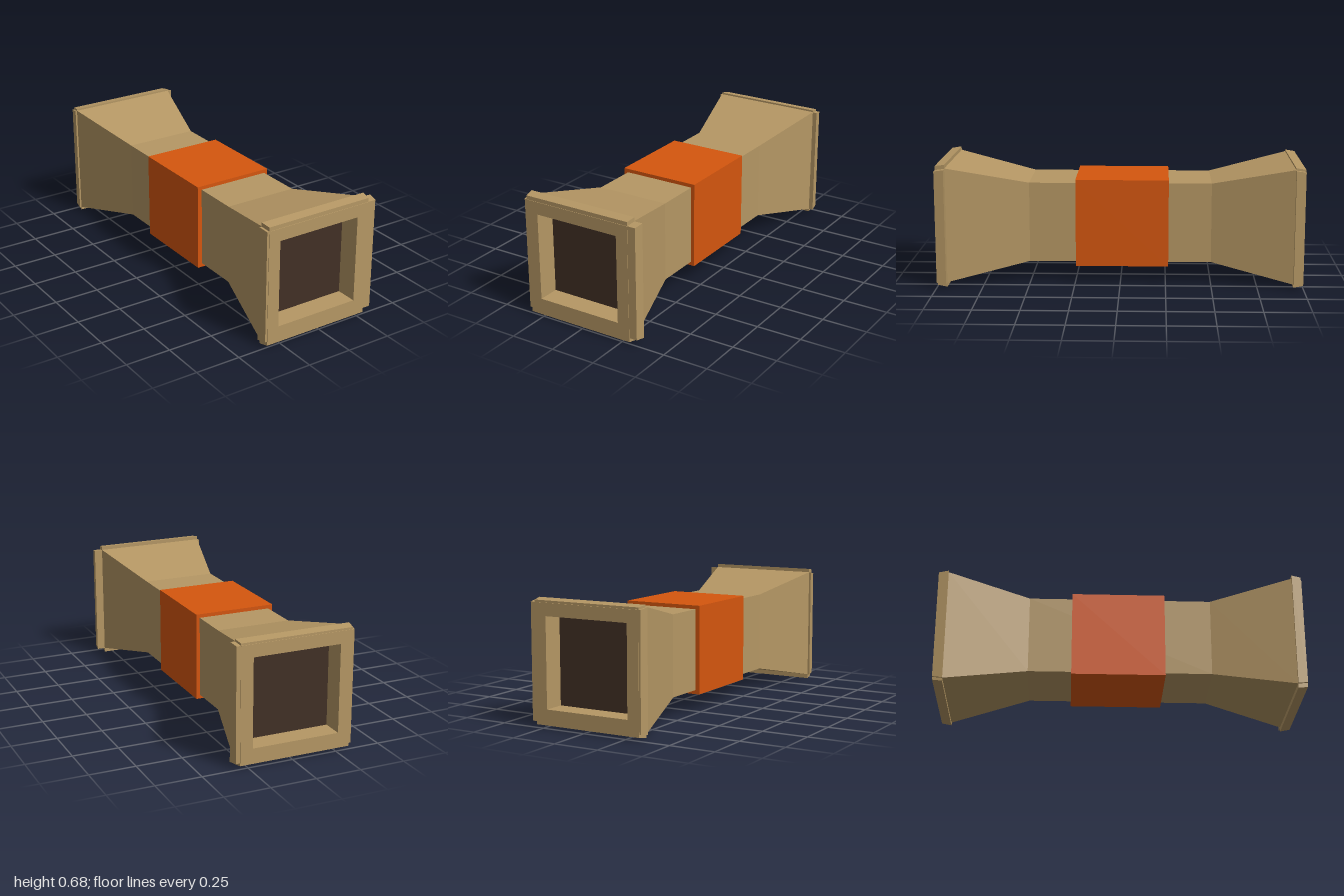
import * as THREE from 'three';

const TAN = new THREE.MeshStandardMaterial({ color: 0xb59764, flatShading: true });
const ORANGE = new THREE.MeshStandardMaterial({ color: 0xd5560e, flatShading: true });
const DARK = new THREE.MeshStandardMaterial({ color: 0x413025, flatShading: true });

// Joins rectangular sections [z, x0, x1, y0, y1] with flat quads.
function loft(name, sections, material, capped = false) {
  const rings = sections.map(([z, x0, x1, y0, y1]) =>
    [[x0, y0, z], [x1, y0, z], [x1, y1, z], [x0, y1, z]]);
  const pos = [];
  const quad = (a, b, c, d) => [a, b, c, a, c, d].forEach((p) => pos.push(...p));
  for (let k = 0; k + 1 < rings.length; k++) {
    for (let i = 0; i < 4; i++) {
      const j = (i + 1) % 4;
      quad(rings[k][i], rings[k][j], rings[k + 1][j], rings[k + 1][i]);
    }
  }
  if (capped) {
    const [a, b, c, d] = rings[0];
    quad(d, c, b, a);
    quad(...rings[rings.length - 1]);
  }
  const geo = new THREE.BufferGeometry();
  geo.setAttribute('position', new THREE.Float32BufferAttribute(pos, 3));
  geo.computeVertexNormals();
  const mesh = new THREE.Mesh(geo, material);
  mesh.name = name;
  return mesh;
}

export function createModel() {
  const model = new THREE.Group();
  model.name = 'flaredDuct';

  const opening = [-0.26, 0.225, 0.102, 0.582];
  const neck = [-0.225, 0.185, 0.122, 0.563];
  const flare = [-0.335, 0.3, 0.027, 0.66];
  const rim = [-0.327, 0.293, 0.034, 0.65];

  // Neck, flared ends and recessed mouths in one shell
  model.add(loft('body', [
    [-0.88, ...opening], [-1, ...opening], [-1, ...rim], [-0.945, ...flare], [-0.5, ...neck],
    [0.5, ...neck], [0.945, ...flare], [1, ...rim], [1, ...opening], [0.88, ...opening],
  ], TAN));

  // Central sleeve
  model.add(loft('sleeve', [
    [-0.265, -0.25, 0.205, 0.1, 0.583], [0.245, -0.25, 0.205, 0.1, 0.583],
  ], ORANGE, true));

  // Each end: dark panel inside the mouth, four tapered strips round the rim
  const ends = [
    { name: 'front', s: 1, left: 0.346, right: -0.347, top: 0.68, bottom: 0.002 },
    { name: 'back', s: -1, left: 0.325, right: -0.345, top: 0.67, bottom: 0.01 },
  ];
  for (const e of ends) {
    const end = new THREE.Group();
    end.name = e.name + 'End';
    const panel = new THREE.Mesh(new THREE.PlaneGeometry(0.485, 0.48), DARK);
    panel.name = 'mouthPanel';
    panel.position.set(-0.0175, 0.342, 0.88 * e.s);
    if (e.s < 0) panel.rotation.y = Math.PI;
    end.add(panel);

    const strip = (name, wide, narrow) => {
      const sections = [[0.945 * e.s, ...wide], [0.998 * e.s, ...narrow]];
      if (e.s < 0) sections.reverse();
      end.add(loft(name, sections, TAN, true));
    };
    const t = 0.008; // taper towards the mouth
    strip('topStrip', [-0.335, 0.3, 0.62, e.top], [-0.327, 0.293, 0.62, e.top - t]);
    strip('bottomStrip', [-0.335, 0.3, e.bottom, 0.06], [-0.327, 0.293, e.bottom + t, 0.06]);
    strip('leftStrip', [0.26, e.left, 0.026, 0.658], [0.26, e.left - t, 0.034, 0.65]);
    strip('rightStrip', [e.right, -0.3, 0.026, 0.658], [e.right + t, -0.3, 0.034, 0.65]);
    model.add(end);
  }
  return model;
}
